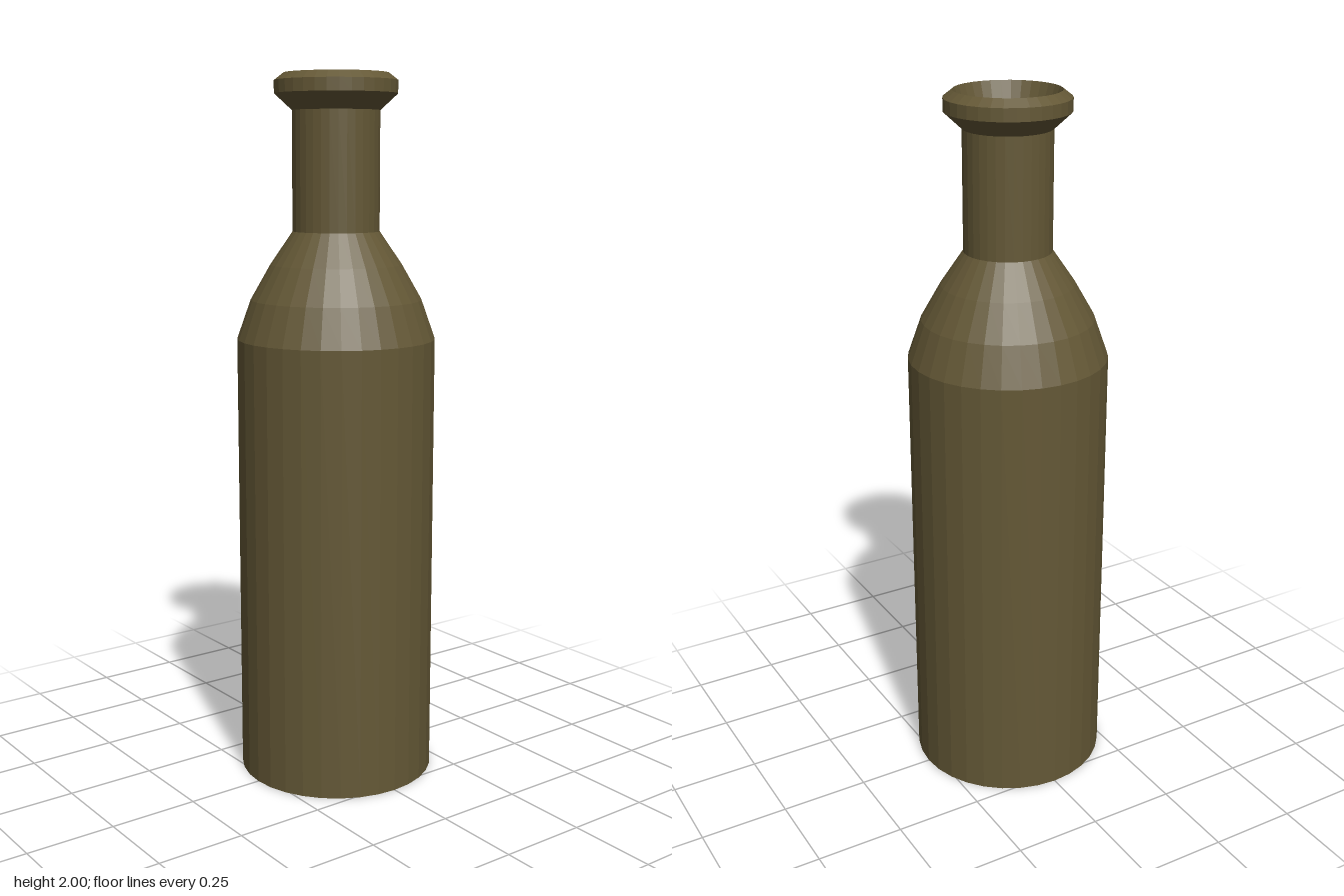
import * as THREE from 'three';

const SIDES = 32;

export function createModel() {
  const bottle = new THREE.Group();
  bottle.name = 'bottle';
  const glass = new THREE.MeshStandardMaterial({ color: 0x645836, flatShading: true });

  // Each part is a turned [radius, height] profile, running up the outside
  const turn = (name, profile) => {
    const points = profile.map(([r, y]) => new THREE.Vector2(r, y));
    const mesh = new THREE.Mesh(new THREE.LatheGeometry(points, SIDES), glass);
    mesh.name = name;
    bottle.add(mesh);
  };

  // Flat base and straight wall
  turn('body', [[0, 0], [0.28, 0], [0.28, 1.27]]);
  // Rounded shoulder in three bands
  turn('shoulder', [[0.28, 1.27], [0.241, 1.38], [0.185, 1.478], [0.122, 1.57]]);
  turn('neck', [[0.122, 1.57], [0.122, 1.9]]);
  // Flared collar with a bevelled top edge
  turn('lip', [[0.122, 1.9], [0.171, 1.945], [0.171, 1.98], [0.145, 2]]);
  // Tapered opening, closed inside the neck
  turn('mouth', [[0.145, 2], [0.083, 1.82], [0, 1.82]]);

  return bottle;
}
